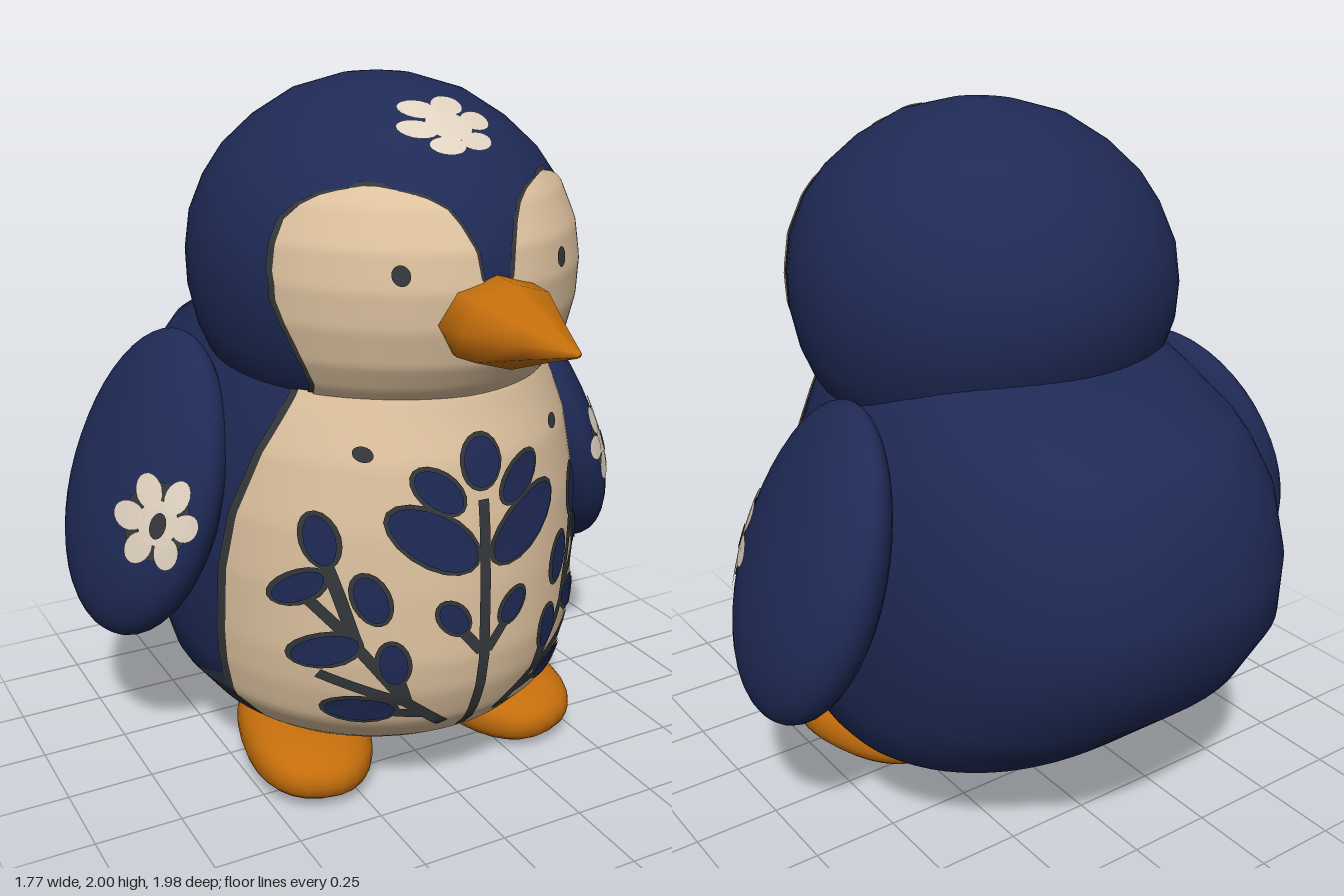
import * as THREE from 'three';

const mat = (name, color) => {
  const m = new THREE.MeshStandardMaterial({ color, side: THREE.DoubleSide });
  m.name = name;
  return m;
};

// Cross-sections: [y, half width, front z, back z, centre z]
const BODY = {
  pf: 2, pb: 2.35, rings: [
    [0.08, 0.001, 0.001, -0.001, 0], [0.085, 0.16, 0.17, -0.14, 0], [0.13, 0.38, 0.33, -0.25, -0.04],
    [0.2, 0.5, 0.46, -0.42, -0.08], [0.29, 0.575, 0.55, -0.62, -0.12], [0.4, 0.6, 0.595, -0.74, -0.14],
    [0.5, 0.612, 0.612, -0.85, -0.15], [0.7, 0.618, 0.61, -0.975, -0.15], [0.87, 0.608, 0.6, -0.99, -0.15],
    [1.05, 0.572, 0.575, -0.95, -0.15], [1.16, 0.525, 0.54, -0.89, -0.13], [1.22, 0.49, 0.525, -0.84, -0.12],
    [1.3, 0.45, 0.49, -0.66, -0.1], [1.38, 0.4, 0.42, -0.49, -0.05], [1.45, 0.001, 0.001, -0.001, 0]],
};
const HEAD = {
  pf: 1.9, pb: 2, rings: [
    [1.13, 0.001, 0.001, -0.001, 0], [1.15, 0.4, 0.45, -0.37, 0], [1.2, 0.455, 0.51, -0.42, 0],
    [1.25, 0.487, 0.555, -0.46, 0], [1.32, 0.515, 0.6, -0.51, 0], [1.42, 0.535, 0.63, -0.55, 0],
    [1.52, 0.537, 0.64, -0.56, 0], [1.62, 0.523, 0.625, -0.545, 0], [1.72, 0.483, 0.577, -0.495, 0],
    [1.8, 0.43, 0.51, -0.44, 0], [1.88, 0.345, 0.41, -0.35, 0], [1.95, 0.235, 0.28, -0.235, 0],
    [1.99, 0.1, 0.12, -0.1, 0], [2, 0.001, 0.001, -0.001, 0]],
};

// Linear lookup in a table whose first column is y
function lookup(table, y) {
  let i = 0;
  while (i < table.length - 2 && y > table[i + 1][0]) i++;
  const a = table[i], b = table[i + 1];
  const t = THREE.MathUtils.clamp((y - a[0]) / (b[0] - a[0]), 0, 1);
  return a.map((v, k) => v + (b[k] - v) * t);
}

// Point on a lofted form; angle 0 faces the front
function point(form, y, angle, off = 0) {
  const [, w, zf, zb, zc] = lookup(form.rings, y);
  const s = Math.sin(angle), c = Math.cos(angle);
  const e = 2 / (c > 0 ? form.pf : form.pb);
  const depth = (c > 0 ? zf - zc : zc - zb) + off;
  return [(w + off) * Math.sign(s) * Math.abs(s) ** e, y, zc + depth * Math.sign(c) * Math.abs(c) ** e];
}

// Front angle at a given x, and front surface map for painted details
const angleAt = (form, x, y) =>
  Math.sign(x) * Math.asin(Math.min(1, Math.abs(x) / lookup(form.rings, y)[1]) ** (form.pf / 2));
const onFront = (form, off) => (x, y) => point(form, y, angleAt(form, x, y), off);

// Grid of points to a smooth surface
function gridGeometry(rows, cols, at, closed = false) {
  const pos = [], idx = [], n = closed ? cols : cols + 1;
  for (let i = 0; i <= rows; i++) for (let j = 0; j < n; j++) pos.push(...at(i, j / cols));
  for (let i = 0; i < rows; i++) for (let j = 0; j < cols; j++) {
    const a = i * n + j, b = i * n + (j + 1) % n;
    idx.push(a, b, a + n, b, b + n, a + n);
  }
  const g = new THREE.BufferGeometry();
  g.setAttribute('position', new THREE.Float32BufferAttribute(pos, 3));
  g.setIndex(idx);
  g.computeVertexNormals();
  return g;
}
const loft = (form) => gridGeometry(form.rings.length - 1, 72,
  (i, u) => point(form, form.rings[i][0], u * Math.PI * 2), true);
const patch = (form, y0, y1, off, range) => gridGeometry(48, 40, (i, u) => {
  const y = y0 + (y1 - y0) * i / 48, [a, b] = range(y);
  return point(form, y, a + (b - a) * u, off);
});

// Flat drawing bent onto a surface by a map
function bend(g, map) {
  const p = g.attributes.position;
  for (let i = 0; i < p.count; i++) p.setXYZ(i, ...map(p.getX(i), p.getY(i)));
  g.computeVertexNormals();
  return g;
}
const blob = (map, x, y, rx, ry, turn = 0) =>
  bend(new THREE.CircleGeometry(1, 18).scale(rx, ry, 1).rotateZ(turn).translate(x, y, 0), map);
const line = (map, x1, y1, x2, y2, w) => {
  const len = Math.hypot(x2 - x1, y2 - y1);
  return bend(new THREE.PlaneGeometry(len, w, 16, 1).rotateZ(Math.atan2(y2 - y1, x2 - x1))
    .translate((x1 + x2) / 2, (y1 + y2) / 2, 0), map);
};

export function createModel() {
  const navy = mat('navy', 0x1f2a56), cream = mat('cream', 0xdfc3a0), pale = mat('pale petal', 0xe0d2c0);
  const orange = mat('orange', 0xc46e0c), dark = mat('charcoal', 0x35383b), slate = mat('slate', 0x27323f);
  const model = new THREE.Group();
  const add = (name, g, m, parent = model) => {
    const mesh = new THREE.Mesh(g, m);
    mesh.name = name;
    parent.add(mesh);
    return mesh;
  };

  add('body', loft(BODY), navy);
  add('head', loft(HEAD), navy);

  // Belly panel with a thin dark edge
  const belly = [[0.11, 0.24], [0.13, 0.32], [0.2, 0.44], [0.29, 0.53], [0.4, 0.552], [0.5, 0.56], [0.7, 0.558],
    [0.87, 0.535], [1.05, 0.475], [1.16, 0.415], [1.22, 0.38], [1.3, 0.36]];
  const bellyRange = (pad) => (y) => {
    const a = angleAt(BODY, lookup(belly, y)[1] + pad, y);
    return [-a, a];
  };
  add('bellyEdge', patch(BODY, 0.11, 1.3, 0.003, bellyRange(0.012)), dark);
  add('belly', patch(BODY, 0.11, 1.3, 0.007, bellyRange(0)), cream);
  add('underside', patch(BODY, 0.0805, 0.13, 0.004, () => [-2.3, 2.3]), orange);

  // Face lobes: [y, inner x, outer x]
  const face = [[1.16, 0, 0.34], [1.25, 0, 0.365], [1.32, 0, 0.4], [1.42, 0, 0.44], [1.48, 0, 0.455], [1.55, 0.045, 0.457],
    [1.62, 0.055, 0.447], [1.68, 0.08, 0.42], [1.72, 0.105, 0.385], [1.75, 0.155, 0.335], [1.768, 0.24, 0.26]];
  const faceMap = onFront(HEAD, 0.012), bellyMap = onFront(BODY, 0.015), edgeMap = onFront(BODY, 0.011);

  // Leaves: [x, y, long radius, short radius, turn]
  const leaves = [[0.135, 0.855, 0.13, 0.066, 0.62], [0.12, 0.985, 0.075, 0.042, 0.75], [0.39, 0.85, 0.068, 0.032, 1.5],
    [0.29, 0.695, 0.068, 0.036, 1.3], [0.435, 0.71, 0.066, 0.03, 2.3], [0.09, 0.63, 0.052, 0.032, 0.9],
    [0.385, 0.535, 0.075, 0.04, 2.6], [0.24, 0.505, 0.062, 0.033, 1.45], [0.3, 0.35, 0.078, 0.04, 0]];
  const stems = [[0.08, 0.28, 0.2, 0.38], [0.2, 0.38, 0.32, 0.55], [0.32, 0.55, 0.385, 0.8], [0.2, 0.38, 0.4, 0.46],
    [0.32, 0.56, 0.42, 0.68], [0.01, 0.52, 0.09, 0.62], [0.2, 0.38, 0.24, 0.5], [0.14, 0.33, 0.28, 0.35]];

  const flower = (parent, map, x, y, r, squash) => {
    for (let i = 0; i < 6; i++) {
      const t = i * Math.PI / 3 + 0.1;
      add('petal', blob(map, x + Math.cos(t) * r * 0.66, y + Math.sin(t) * r * 0.66 * squash,
        r * 0.36, r * 0.29 * squash, squash < 1 ? 0 : t), pale, parent);
    }
    add('flowerCentre', blob(map, x, y, r * 0.46, r * 0.46 * squash), pale, parent);
  };

  for (const s of [1, -1]) {
    const range = (pad) => (y) => {
      const [, a, b] = lookup(face, y);
      return [s * angleAt(HEAD, Math.max(0, a - pad), y), s * angleAt(HEAD, b + pad, y)];
    };
    add('faceEdge', patch(HEAD, 1.16, 1.776, 0.003, range(0.01)), dark);
    add('face', patch(HEAD, 1.16, 1.768, 0.007, range(0)), cream);
    add('eye', blob(faceMap, s * 0.23, 1.567, 0.02, 0.026), dark);
    add('chestSpot', blob(bellyMap, s * 0.285, 1.085, 0.022, 0.02), dark);
    add('lowerSide', patch(BODY, 0.13, 0.42, 0.002,
      (y) => [s * 1.05, s * (1.1 + 2.04 * ((0.42 - y) / 0.29) ** 2)]), slate);

    for (const [x, y, a, b, t] of leaves) {
      add('leafEdge', blob(edgeMap, s * x, y, a + 0.011, b + 0.011, s * t), dark);
      add('leaf', blob(bellyMap, s * x, y, a, b, s * t), navy);
    }
    for (const [a, b, c, d] of stems) add('stem', line(edgeMap, s * a, b, s * c, d, 0.03), dark);

    // Wing: tilted flat ellipsoid, thicker toward the tip
    const wing = new THREE.Group();
    wing.name = s > 0 ? 'leftWing' : 'rightWing';
    wing.position.set(s * 0.668, 0.862, -0.155);
    wing.rotation.set(0, -s * 0.16, s * 0.32);
    const R = [0.148, 0.45, 0.345];
    const shape = (x, y, z) => [x * R[0] * (1 - 0.2 * y), y * R[1], z * R[2]];
    const g = new THREE.SphereGeometry(1, 36, 24), p = g.attributes.position;
    for (let i = 0; i < p.count; i++) p.setXYZ(i, ...shape(p.getX(i), p.getY(i), p.getZ(i)));
    g.computeVertexNormals();
    add('wing', g, navy, wing);
    const wingMap = (off) => (a, b) => {
      const lat = Math.asin(-0.1 + b / R[1]), lon = 0.87 + a / 0.25, k = 1 + off;
      return shape(s * k * Math.cos(lat) * Math.cos(lon), k * Math.sin(lat), k * Math.cos(lat) * Math.sin(lon));
    };
    add('flowerEdge', blob(wingMap(0.015), 0, 0, 0.105, 0.11), dark, wing);
    flower(wing, wingMap(0.03), 0, 0, 0.135, 1);
    add('flowerHeart', blob(wingMap(0.045), 0, -0.005, 0.024, 0.036), dark, wing);
    model.add(wing);

    // Foot: rounded, slightly boxy slipper
    const f = new THREE.SphereGeometry(1, 28, 18), q = f.attributes.position;
    const soft = (v) => Math.sign(v) * Math.abs(v) ** 0.85;
    for (let i = 0; i < q.count; i++)
      q.setXYZ(i, soft(q.getX(i)) * 0.19, Math.max(-0.09, soft(q.getY(i)) * 0.102), soft(q.getZ(i)) * 0.295);
    f.computeVertexNormals();
    const foot = add(s > 0 ? 'leftFoot' : 'rightFoot', f, orange);
    foot.position.set(s * 0.317, 0.106, 0.137);
    foot.rotation.set(0.07, s * 0.22, s * 0.06);
  }

  // Central stem, top bud and forehead flower
  add('mainStem', line(edgeMap, 0, 0.23, 0, 0.95, 0.032), dark);
  add('budEdge', blob(edgeMap, 0, 1.05, 0.062, 0.078), dark);
  add('bud', blob(bellyMap, 0, 1.05, 0.052, 0.067), navy);
  flower(model, onFront(HEAD, 0.012), 0, 1.893, 0.13, 0.52);

  // Beak: eight-sided tapering cone
  const profile = [[0.13, 0.5], [0.156, 0.63], [0.146, 0.71], [0.074, 0.85], [0.012, 0.98], [0, 0.99]];
  const beak = add('beak', new THREE.LatheGeometry(profile.map(([r, z]) => new THREE.Vector2(r, z)), 8)
    .rotateX(Math.PI / 2).scale(1, 0.74, 1), orange);
  beak.position.y = 1.442;
  return model;
}
